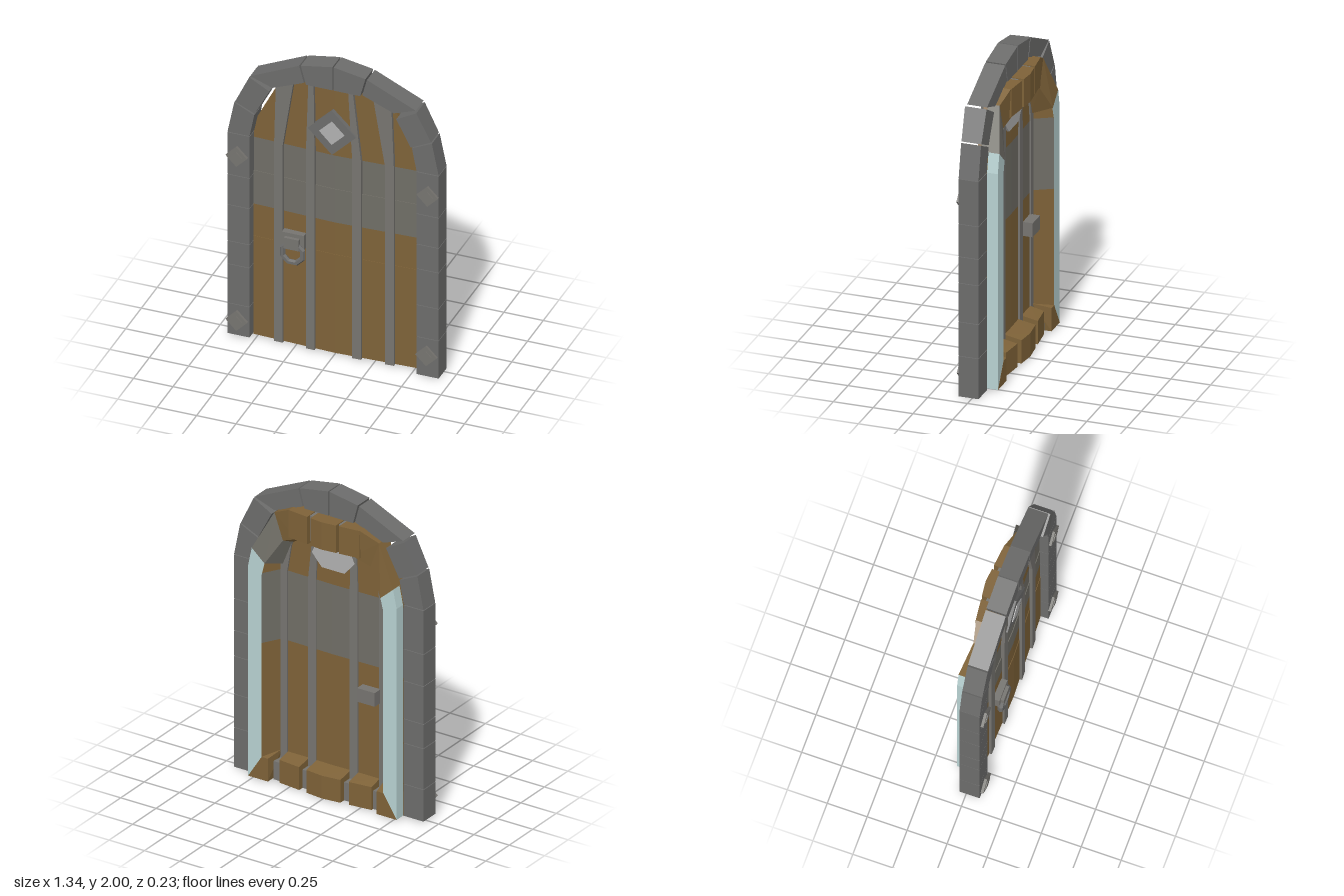
import * as THREE from 'three';
import { ConvexGeometry } from 'three/addons/geometries/ConvexGeometry.js';

const paint = (color) => new THREE.MeshStandardMaterial({ color, flatShading: true });
const STONE = paint(0x6c6c6b), WOOD = paint(0x7e6238), BAND = paint(0x706e66);
const IRON = paint(0x767470), PALE = paint(0xb8d2d2), LIGHT = paint(0xb0b0b0);

const V = (x, y, z) => new THREE.Vector3(x, y, z);

export function createModel() {
  const root = new THREE.Group();
  const group = (name) => {
    const g = new THREE.Group();
    g.name = name;
    root.add(g);
    return g;
  };
  const add = (parent, geo, mat, name) => {
    const m = new THREE.Mesh(geo, mat);
    m.name = name;
    parent.add(m);
    return m;
  };
  // convex solid between a front outline and a back outline; z may depend on x
  const solid = (parent, name, mat, front, zf, back, zb) => {
    const z = (f, x) => (typeof f === 'function' ? f(x) : f);
    const pts = [
      ...front.map(([x, y]) => V(x, y, z(zf, x))),
      ...back.map(([x, y]) => V(x, y, z(zb, x))),
    ];
    return add(parent, new ConvexGeometry(pts), mat, name);
  };
  const slab = (parent, name, mat, pts, zf, zb) => solid(parent, name, mat, pts, zf, pts, zb);
  const rect = (x0, x1, y0, y1) => [[x0, y0], [x1, y0], [x1, y1], [x0, y1]];
  const flip = (pts, s) => pts.map(([x, y]) => [x * s, y]);

  // stone jambs
  const frame = group('stoneFrame');
  const seams = { '-1': [0.01, 0.22, 0.49, 0.65, 0.9, 1.11, 1.4], '1': [0, 0.26, 0.48, 0.73, 0.9, 1.11, 1.4] };
  for (const s of [-1, 1]) {
    const ys = seams[s];
    for (let i = 0; i < ys.length - 1; i++) {
      const y0 = ys[i] + (i ? 0.002 : 0);
      slab(frame, 'jambStone', STONE, flip(rect(0.53, 0.67, y0, ys[i + 1] - 0.002), s), 0.085, -0.04);
    }
  }
  // arch stones; one on the left tips forward a little
  const archStones = [
    [[0.67, 1.403], [0.627, 1.615], [0.5, 1.555], [0.53, 1.403]],
    [[0.622, 1.622], [0.532, 1.81], [0.405, 1.74], [0.497, 1.565]],
    [[0.525, 1.82], [0.215, 1.962], [0.185, 1.85], [0.385, 1.77]],
    [[0.205, 1.965], [0.004, 2], [0.004, 1.84], [0.172, 1.84]],
  ];
  for (const s of [-1, 1]) {
    archStones.forEach((st, i) => {
      const front = i === 1 && s === 1 ? (x) => (x > 0.55 ? 0.085 : 0.096) : 0.085;
      slab(frame, 'archStone', STONE, flip(st, s), front, -0.04);
    });
  }

  // door planks: edges lean inwards above the band and follow the arched top
  const outline = [[-0.525, 1.4], [-0.5, 1.52], [-0.37, 1.77], [-0.25, 1.83], [0.25, 1.83], [0.37, 1.77], [0.5, 1.52], [0.525, 1.4]];
  const topY = (x) => {
    for (let i = 0; i < outline.length - 1; i++) {
      const [a, ya] = outline[i], [b, yb] = outline[i + 1];
      if (x <= b) return ya + ((yb - ya) * (x - a)) / (b - a);
    }
    return 1.4;
  };
  const frontZ = (x) => 0.058 - 0.04 * Math.abs(x);
  const backZ = (x) => 0.002 + 0.02 * Math.abs(x);
  const lipZ = (x) => (Math.abs(x) > 0.38 ? -0.11 : -0.118 + 0.11 * Math.abs(x));
  // each edge: [x below, x at the top]
  const planks = [
    [[-0.525, -0.525], [-0.385, -0.375]],
    [[-0.33, -0.26], [-0.18, -0.165]],
    [[-0.125, -0.13], [0, 0]],
    [[0, 0], [0.115, 0.09]],
    [[0.17, 0.12], [0.32, 0.245]],
    [[0.375, 0.36], [0.525, 0.525]],
  ];
  const door = group('doorPlanks');
  const levels = [0.01, 0.69, 0.91, 1.14, 1.37];
  const steps = [0, 0.003, 0.003, 0.007];
  const topShape = (l, r) => {
    const between = outline.filter(([x]) => x > l[1] && x < r[1]);
    return [[l[0], 1.37], [r[0], 1.37], [r[1], topY(r[1])], ...between.reverse(), [l[1], topY(l[1])]];
  };
  for (const [l, r] of planks) {
    for (let i = 0; i < 4; i++) {
      const mat = i < 2 ? WOOD : BAND;
      slab(door, 'plank', mat, rect(l[0], r[0], levels[i], levels[i + 1]), (x) => frontZ(x) - steps[i], backZ);
    }
    slab(door, 'plankTop', WOOD, topShape(l, r), (x) => frontZ(x) - steps[3], backZ);
  }
  // upright strips in the gaps between planks
  const strips = group('uprightStrips');
  for (const i of [0, 1, 3, 4]) {
    const l = planks[i][1], r = planks[i + 1][0];
    const a = (x) => frontZ(x) + 0.015, b = (x) => backZ(x) - 0.01;
    slab(strips, 'strip', IRON, rect(l[0], r[0], 0.005, 1.37), a, b);
    slab(strips, 'stripTop', IRON, topShape(l, r), a, b);
    slab(strips, 'stripFoot', IRON, rect(l[0], r[0], 0.01, 0.13), 0, -0.065);
  }

  // raised rim round the back, with sloping inner walls; points as [x, y]
  const rim = group('backRim');
  const outer = [[0.525, 0.01], [0.525, 1.4], [0.5, 1.52], [0.37, 1.77], [0.25, 1.83]];
  const inner = [[0.43, 0.16], [0.43, 1.36], [0.41, 1.44], [0.31, 1.6], [0.2, 1.65]];
  const foot = [[0.365, 0.18], [0.365, 1.33], [0.345, 1.41], [0.28, 1.57], [0.19, 1.63]];
  const rimZ = [-0.108, -0.108, -0.108, -0.062, -0.088];
  for (const s of [-1, 1]) {
    for (let i = 0; i < 4; i++) {
      const o = outer[i], p = outer[i + 1];
      const back = flip([o, p, inner[i + 1], inner[i]], s);
      const front = flip([o, p, foot[i + 1], foot[i]], s);
      if (i > 1) {
        const pts = [...front.map(([x, y]) => V(x, y, 0.01)),
          ...back.map(([x, y], k) => V(x, y, rimZ[k === 1 || k === 2 ? i + 1 : i]))];
        add(rim, new ConvexGeometry(pts), i === 2 && s === 1 ? BAND : WOOD, 'shoulder');
      } else {
        const edge = flip([o, p, [p[0] - 0.01, p[1]], [o[0] - 0.01, o[1]]], s);
        solid(rim, 'paleEdge', PALE, edge, -0.04, back, -0.108);
      }
    }
    // banded inner walls of the sides
    for (const [y0, y1, mat] of [[0.16, 0.91, WOOD], [0.91, 1.37, BAND], [1.37, 1.43, WOOD]]) {
      const pts = [];
      for (const y of [y0, y1]) {
        for (const [x, z] of [[0.43, -0.107], [0.515, -0.04], [0.524, 0.01], [0.365, 0.005]]) pts.push(V(x * s, y, z));
      }
      add(rim, new ConvexGeometry(pts), mat, 'sideWall');
    }
    // bottom corner blocks
    solid(rim, 'cornerBlock', WOOD, flip([[0.525, 0.01], [0.385, 0.01], [0.365, 0.18], [0.4, 0.18]], s), 0.005,
      flip([[0.525, 0.01], [0.385, 0.01], [0.385, 0.16], [0.43, 0.16]], s), -0.109);
  }
  for (const [l, r] of planks.slice(1, 5)) {
    solid(rim, 'bottomLip', WOOD, rect(l[0], r[0], 0.01, 0.18), 0.005, rect(l[0], r[0], 0.01, 0.16), lipZ);
  }
  for (const [a, b] of [[-0.25, -0.115], [-0.095, 0], [0, 0.085], [0.11, 0.25]]) {
    solid(rim, 'topLip', WOOD, rect(a, b, 1.63, 1.83), 0.005, rect(a, b, 1.65, 1.83), lipZ);
  }
  slab(rim, 'topLipFiller', IRON, rect(-0.2, 0.2, 1.66, 1.825), 0, -0.075);

  // diamond ornaments
  const diamond = (x, y, r) => [[x - r, y], [x, y - r], [x + r, y], [x, y + r]];
  const ornament = group('diamondWindow');
  slab(ornament, 'windowFrame', STONE, diamond(-0.01, 1.54, 0.152), 0.078, 0.03);
  slab(ornament, 'windowPane', LIGHT, diamond(-0.01, 1.54, 0.08), 0.083, 0.03);
  const pane = [[-0.16, 1.55], [-0.09, 1.47], [0.07, 1.47], [0.14, 1.55], [0.1, 1.64], [-0.12, 1.64]];
  slab(ornament, 'backPane', LIGHT, pane, 0.02, -0.01);
  const studs = group('frameStuds');
  for (const [x, y, z] of [[-0.605, 1.255, 0.092], [-0.605, 0.12, 0.092], [0.603, 1.25, 0.083], [0.595, 0.145, 0.083]]) {
    slab(studs, 'stud', IRON, diamond(x, y, 0.068), z + 0.017, z);
    slab(studs, 'studCentre', IRON, diamond(x, y, 0.036), z + 0.022, z + 0.01);
  }

  // ring handle in front and latch behind
  const handle = group('handle');
  slab(handle, 'handlePlate', IRON, rect(-0.325, -0.185, 0.69, 0.79), 0.085, 0.03);
  slab(handle, 'handleMount', IRON, rect(-0.305, -0.21, 0.69, 0.765), 0.106, 0.08);
  const ring = add(handle, new THREE.TorusGeometry(0.068, 0.018, 6, 8), STONE, 'handleRing');
  ring.position.set(-0.255, 0.662, 0.09);
  ring.rotation.z = Math.PI / 8;
  slab(handle, 'latch', IRON, rect(-0.335, -0.21, 0.68, 0.77), 0.02, -0.055);

  return root;
}
